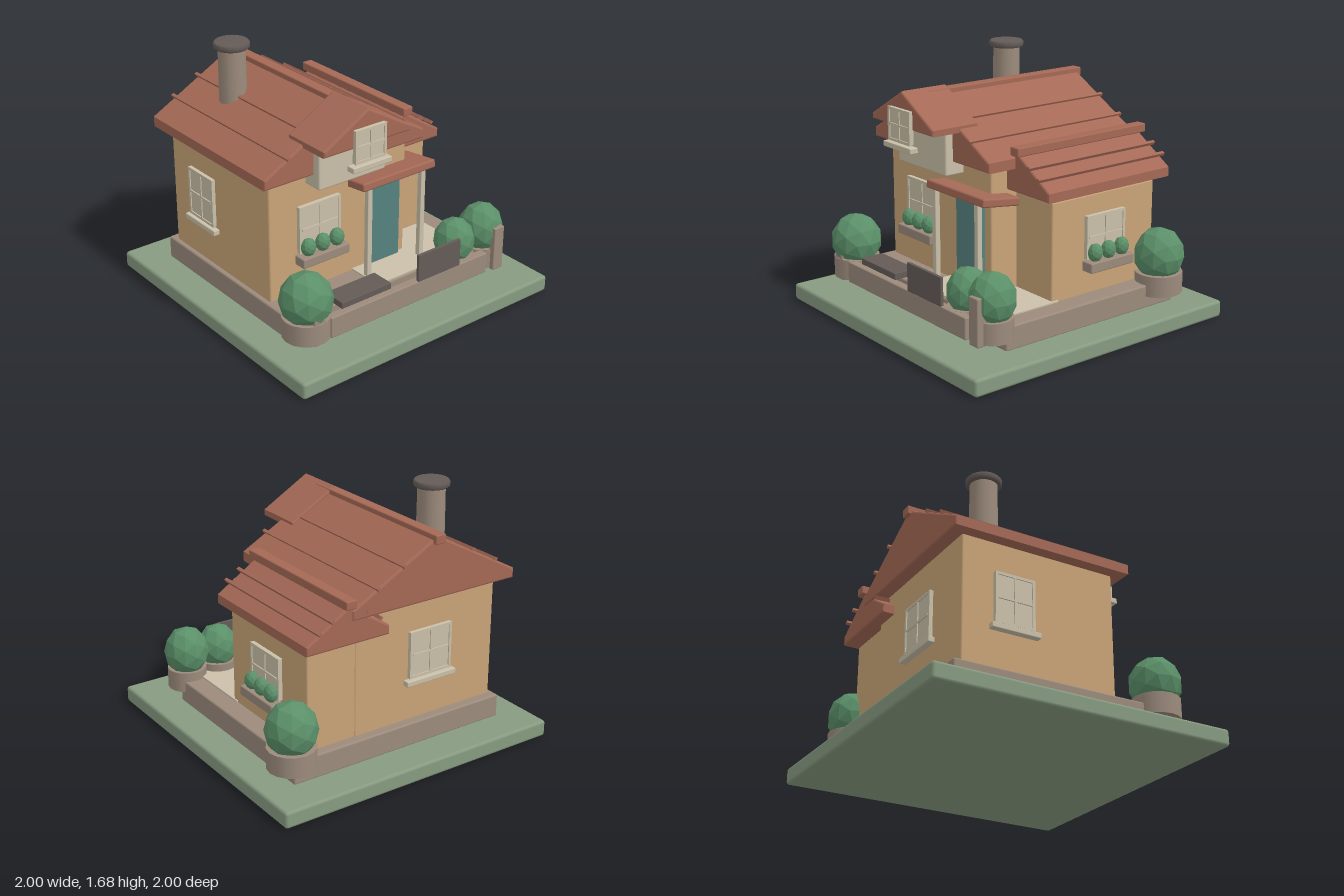
import * as THREE from 'three';
import { RoundedBoxGeometry } from 'three/addons/geometries/RoundedBoxGeometry.js';

const paint = (name, color, flatShading = false) => {
  const m = new THREE.MeshStandardMaterial({ color, flatShading });
  m.name = name;
  return m;
};

export function createModel() {
  const model = new THREE.Group();
  const grass = paint('grass', 0x879b81);
  const stone = paint('stone', 0x9c8b7c);
  const plaster = paint('plaster', 0xc9a478);
  const tile = paint('roofTile', 0xa56956);
  const cream = paint('cream', 0xcac0a9);
  const teal = paint('doorTeal', 0x56827f);
  const dark = paint('charcoal', 0x645b57);
  const leaf = paint('leaf', 0x5b9069, true);

  const add = (name, geo, mat, x = 0, y = 0, z = 0, parent = model) => {
    const mesh = new THREE.Mesh(geo, mat);
    mesh.name = name;
    mesh.position.set(x, y, z);
    parent.add(mesh);
    return mesh;
  };

  // Softly rounded box given by its limits on each axis
  const block = (name, mat, [x0, x1], [y0, y1], [z0, z1], r = 0.012, parent = model) => {
    const s = [x1 - x0, y1 - y0, z1 - z0];
    const geo = new RoundedBoxGeometry(...s, 2, Math.min(r, Math.min(...s) * 0.3));
    return add(name, geo, mat, (x0 + x1) / 2, (y0 + y1) / 2, (z0 + z1) / 2, parent);
  };

  // Solid gable roof running along z
  const gable = (name, cx, half, bottom, eave, peak, z0, z1) => {
    const b = 0.012;
    const shape = new THREE.Shape([
      [-half, bottom], [half, bottom], [half, eave], [0, peak], [-half, eave],
    ].map(([x, y]) => new THREE.Vector2(x, y)));
    const geo = new THREE.ExtrudeGeometry(shape, {
      depth: z1 - z0 - 2 * b, bevelThickness: b, bevelSize: b, bevelOffset: -b, bevelSegments: 2,
    });
    add(name, geo, tile, cx, 0, z0 + b);
  };

  // Thin battens following both slopes of a gable roof
  const battens = (name, cx, offsets, peak, slope, z0, z1) => {
    for (const side of [-1, 1]) for (const d of offsets) {
      const bar = add(name, new THREE.BoxGeometry(0.02, 0.022, z1 - z0), tile,
        cx + side * d, peak - slope * d + 0.006, (z0 + z1) / 2);
      bar.rotation.z = -side * Math.atan(slope);
    }
  };

  const bush = (name, x, y, z, rx, ry, rz = rx, parent = model) => {
    add(name, new THREE.IcosahedronGeometry(1, 1), leaf, x, y, z, parent).scale.set(rx, ry, rz);
  };

  // Window facing +z, with cross bars and a sill or a planted flower box
  const windowUnit = (name, x, y, z, w, h, turn, planted) => {
    const g = new THREE.Group();
    g.name = name;
    block('windowFrame', cream, [-w / 2, w / 2], [-h / 2, h / 2], [-0.01, 0.016], 0.005, g);
    for (const s of [-1, 1]) {
      add('sideTrim', new THREE.BoxGeometry(0.018, h, 0.01), cream, s * (w / 2 - 0.009), 0, 0.018, g);
      add('edgeTrim', new THREE.BoxGeometry(w, 0.018, 0.01), cream, 0, s * (h / 2 - 0.009), 0.018, g);
    }
    add('uprightBar', new THREE.BoxGeometry(0.014, h, 0.01), cream, 0, 0, 0.018, g);
    add('crossBar', new THREE.BoxGeometry(w * 0.86, 0.014, 0.01), cream, 0, 0, 0.019, g);
    const bottom = -h / 2;
    if (planted) {
      block('flowerBox', stone, [-0.18, 0.18], [bottom - 0.07, bottom - 0.005], [0, 0.09], 0.008, g);
      for (const i of [-1, 0, 1]) bush('flowerBush', i * 0.11, bottom + 0.045, 0.045, 0.05, 0.06, 0.046, g);
    } else {
      block('sill', cream, [-w / 2 - 0.03, w / 2 + 0.03], [bottom - 0.045, bottom - 0.008], [-0.02, 0.04], 0.006, g);
    }
    g.position.set(x, y, z);
    g.rotation.y = turn;
    model.add(g);
  };

  // Ground and plinth
  block('ground', grass, [-1, 1], [0, 0.11], [-1, 1], 0.02);
  block('plinth', stone, [-0.79, 0.785], [0.105, 0.26], [-0.76, 0.61]);
  block('porchFloor', cream, [-0.12, 0.66], [0.25, 0.272], [0.1, 0.6], 0.004);

  // House walls
  block('mainWalls', plaster, [-0.76, 0.31], [0.25, 1.09], [-0.7, 0.35]);
  block('wingWalls', plaster, [0.2, 0.65], [0.25, 0.9], [-0.695, 0.15]);
  block('dormerWall', cream, [-0.485, 0.03], [0.985, 1.31], [0.2, 0.485]);

  // Roofs
  gable('mainRoof', -0.225, 0.615, 1.07, 1.135, 1.47, -0.79, 0.43);
  gable('wingRoof', 0.41, 0.295, 0.92, 0.98, 1.165, -0.78, 0.225);
  gable('dormerRoof', -0.23, 0.33, 1.27, 1.31, 1.5, 0.285, 0.63);
  block('mainRidge', tile, [-0.265, -0.19], [1.425, 1.484], [-0.815, 0.45], 0.008);
  block('wingRidge', tile, [0.375, 0.45], [1.155, 1.212], [-0.81, 0.255], 0.008);
  battens('mainBatten', -0.23, [0.26, 0.445], 1.47, 0.545, -0.805, 0.447);
  battens('wingBatten', 0.41, [0.125, 0.215], 1.172, 0.6, -0.8, 0.245);

  // Chimney
  add('chimney', new THREE.CylinderGeometry(0.088, 0.092, 0.45, 16), stone, -0.48, 1.425, -0.4);
  const capProfile = [[0, 0], [0.105, 0], [0.115, 0.01], [0.115, 0.035], [0.105, 0.045], [0, 0.045]];
  add('chimneyCap', new THREE.LatheGeometry(capProfile.map(([x, y]) => new THREE.Vector2(x, y)), 20),
    dark, -0.48, 1.633, -0.4);

  // Porch
  block('door', teal, [-0.015, 0.247], [0.272, 0.86], [0.34, 0.378], 0.006);
  for (const x of [-0.093, 0.342]) block('porchPost', cream, [x - 0.018, x + 0.018], [0.26, 0.89], [0.457, 0.493], 0.004);
  block('porchRoof', tile, [-0.157, 0.432], [0.863, 0.918], [0.22, 0.505]).rotation.x = -0.13;

  // Windows
  windowUnit('frontWindow', -0.393, 0.692, 0.355, 0.318, 0.315, 0, true);
  windowUnit('wingWindow', 0.655, 0.63, -0.27, 0.318, 0.28, Math.PI / 2, true);
  windowUnit('dormerWindow', -0.228, 1.285, 0.632, 0.235, 0.215, 0, false);
  windowUnit('backWindow', -0.25, 0.7, -0.702, 0.32, 0.31, Math.PI, false);
  windowUnit('leftWindow', -0.762, 0.71, -0.355, 0.27, 0.33, -Math.PI / 2, false);

  // Front garden wall, gate posts, bench and board
  block('gardenWall', stone, [-0.64, 0.635], [0.178, 0.32], [0.74, 0.8], 0.008);
  for (const x of [-0.733, 0.728]) block('gatePost', stone, [x - 0.042, x + 0.042], [0.175, 0.478], [0.74, 0.812], 0.008);
  block('bench', dark, [-0.53, -0.145], [0.322, 0.366], [0.6, 0.762], 0.006);
  block('board', dark, [0.045, 0.395], [0.23, 0.502], [0.778, 0.799], 0.003);

  // Potted bushes: x, z, pot radius, bush radius, bush height radius, bush centre
  for (const [x, z, pot, r, ry, y] of [
    [-0.73, 0.67, 0.152, 0.168, 0.178, 0.425],
    [0.475, 0.655, 0.13, 0.135, 0.155, 0.41],
    [0.71, 0.655, 0.13, 0.148, 0.17, 0.43],
    [0.745, -0.67, 0.155, 0.165, 0.18, 0.43],
  ]) {
    add('pot', new THREE.CylinderGeometry(pot, pot, 0.135, 16), stone, x, 0.253, z);
    bush('bush', x, y, z, r, ry);
  }
  return model;
}
